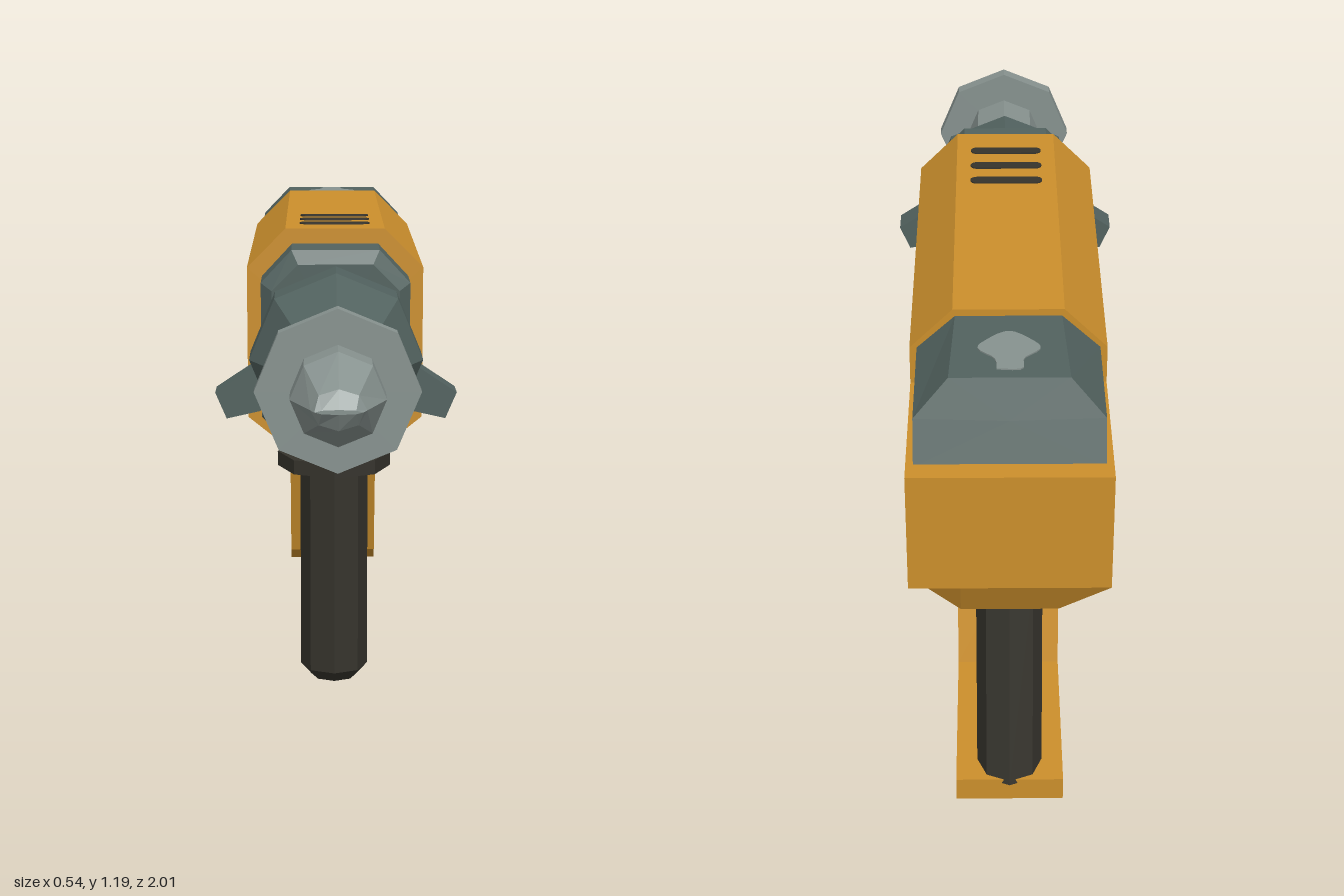
import * as THREE from 'three';

const mat = (name, color) => {
  const m = new THREE.MeshStandardMaterial({ color, flatShading: true, side: THREE.DoubleSide });
  m.name = name;
  return m;
};

// Flat-sided solid through cross-sections listed front to back; a point may carry its own z.
function loft(sections, cy) {
  const rings = sections.map(([z, pts]) => pts.map(p => [p[0], p[1], p[2] ?? z]));
  const out = [];
  const tri = (a, b, c) => out.push(...a, ...b, ...c);
  const n = rings[0].length;
  const centre = r => {
    const c = [0, 1, 2].map(k => r.reduce((s, p) => s + p[k], 0) / n);
    if (cy !== undefined) c[1] = cy;
    return c;
  };
  const front = rings[0], back = rings[rings.length - 1];
  const cf = centre(front), cb = centre(back);
  for (let j = 0; j < n; j++) {
    const k = (j + 1) % n;
    tri(cf, front[j], front[k]);
    tri(cb, back[k], back[j]);
    for (let i = 0; i + 1 < rings.length; i++) {
      const a = rings[i], b = rings[i + 1];
      tri(a[j], b[j], a[k]);
      tri(a[k], b[j], b[k]);
    }
  }
  const g = new THREE.BufferGeometry();
  g.setAttribute('position', new THREE.Float32BufferAttribute(out, 3));
  g.computeVertexNormals();
  return g;
}

// Right half of a cross-section, bottom to top, completed by its mirror image.
const mirror = half => [...half, ...half.map(([x, ...r]) => [-x, ...r]).reverse()];

// Eight-sided ring around the tool axis.
const AXIS = 0.93;
const ring = (rx, ry = rx) => Array.from({ length: 8 }, (_, i) => {
  const a = i * Math.PI / 4;
  return [rx * Math.cos(a), AXIS + ry * Math.sin(a)];
});

const polygon = pts => new THREE.Shape(pts.map(p => new THREE.Vector2(...p)));
const extrude = (shape, depth) => new THREE.ExtrudeGeometry(shape, { depth, bevelEnabled: false, curveSegments: 6 });

// Thin upright plate with rounded ends.
function slot(w, h) {
  const r = w / 2, s = new THREE.Shape();
  s.absarc(0, h / 2 - r, r, 0, Math.PI);
  s.absarc(0, r - h / 2, r, Math.PI, 2 * Math.PI);
  return extrude(s, 0.006);
}

export function createModel() {
  const orange = mat('orange housing', 0xcc8f2c);
  const darkGrey = mat('dark grey metal', 0x52625f);
  const lightGrey = mat('light grey steel', 0x87928f);
  const black = mat('black rubber', 0x35332c);
  const red = mat('red switch', 0xb81014);

  const model = new THREE.Group();
  const add = (name, geometry, material, x = 0, y = 0, z = 0) => {
    const m = new THREE.Mesh(geometry, material);
    m.name = name;
    m.position.set(x, y, z);
    model.add(m);
    return m;
  };

  // Housing, notched on both sides for the switch pockets
  const full = mirror([[0.1, 0.66], [0.205, 0.745], [0.205, 1.1], [0.115, 1.19]]);
  const notched = mirror([[0.1, 0.66], [0.17, 0.717], [0.17, 0.95], [0.205, 0.95], [0.205, 1.1], [0.115, 1.19]]);
  const low = mirror([[0.1, 0.66], [0.205, 0.745], [0.205, 1.015]]);
  const lowEnd = mirror([[0.1, 0.745], [0.205, 0.745], [0.205, 1.015]]);
  add('housingFront', loft([[0.2, full], [0.13, full]]), orange);
  add('housingPocketSection', loft([[0.13, notched], [-0.045, notched]], 0.97), orange);
  add('housingMiddle', loft([[-0.045, full], [-0.65, full]]), orange);
  add('housingRear', loft([[-0.65, low], [-0.96, low], [-1, lowEnd]]), orange);

  // Sloped motor cap on the rear step
  const cap = [[0.19, 1.01], [0.19, 1.1], [0.11, 1.175]];
  const capEnd = [[0.19, 1.01, -0.955], [0.19, 1.1, -0.92], [0.12, 1.175, -0.89]];
  add('motorCap', loft([[-0.65, mirror(cap)], [-0.955, mirror(capEnd)]]), darkGrey);
  const patch = new THREE.Shape(new THREE.SplineCurve([[0.025, 0.86], [0.03, 0.82], [0.062, 0.785], [0.05, 0.755],
    [0, 0.715], [-0.05, 0.755], [-0.062, 0.785], [-0.03, 0.82], [-0.025, 0.86], [0.025, 0.86]]
    .map(p => new THREE.Vector2(...p))).getPoints(30));
  add('capWearPatch', extrude(patch, 0.004).rotateX(-Math.PI / 2), lightGrey, 0, 1.174, 0);

  // Collar, chuck and bit
  const collar = mirror([[0.1, 0.69], [0.17, 0.77], [0.17, 1.08], [0.1, 1.155]]);
  const collarFace = mirror([[0.085, 0.72], [0.145, 0.785], [0.145, 1.065], [0.085, 1.125]]);
  add('collar', loft([[0.335, collarFace], [0.31, collar], [0.2, collar]]), darkGrey);
  add('chuck', loft([[0.595, ring(0.125)], [0.455, ring(0.193)], [0.345, ring(0.193)], [0.33, ring(0.175)]]), darkGrey);
  add('bitShaft', loft([[0.88, ring(0.098)], [0.59, ring(0.098)]]), lightGrey);
  add('bitTip', loft([[1, ring(0.048, 0.005)], [0.98, ring(0.056, 0.042)], [0.88, ring(0.098)]]), lightGrey);
  add('bitFlange', loft([[0.805, ring(0.172)], [0.768, ring(0.172)]]), lightGrey);

  for (const s of [1, -1]) {
    const side = s > 0 ? 'left' : 'right';
    // Chuck lug
    const lug = polygon([[0.27, 0.852], [0.18, 0.912], [0.13, 0.85], [0.17, 0.81], [0.245, 0.793]].map(([x, y]) => [s * x, y]));
    add(side + 'ChuckLug', extrude(lug, 0.07), darkGrey, 0, 0, 0.365);

    // Sloping walls of the switch pocket
    const quads = [
      [[0.205, 0.95, 0.13], [0.205, 0.745, 0.13], [0.17, 0.717, 0.105], [0.17, 0.92, 0.105]],
      [[0.205, 0.95, -0.045], [0.17, 0.92, -0.02], [0.17, 0.717, -0.02], [0.205, 0.745, -0.045]],
      [[0.205, 0.95, 0.13], [0.17, 0.92, 0.105], [0.17, 0.92, -0.02], [0.205, 0.95, -0.045]],
    ];
    const order = s > 0 ? [0, 1, 2, 0, 2, 3] : [0, 2, 1, 0, 3, 2];
    const walls = new THREE.BufferGeometry();
    walls.setAttribute('position', new THREE.Float32BufferAttribute(
      quads.flatMap(q => order.flatMap(i => [s * q[i][0], q[i][1], q[i][2]])), 3));
    walls.computeVertexNormals();
    add(side + 'PocketWalls', walls, orange);
    add(side + 'SwitchPlate', new THREE.BoxGeometry(0.008, 0.2, 0.125), darkGrey, s * 0.17, 0.82, 0.0425);
    add(side + 'Switch', slot(0.07, 0.135).rotateY(s * Math.PI / 2), red, s * 0.173, 0.825, 0.036);

    // Side vents
    [[-0.74, 0.026], [-0.82, 0.03], [-0.9, 0.034]].forEach(([z, w], i) =>
      add(`${side}Vent${i + 1}`, slot(w, 0.155).rotateY(s * Math.PI / 2), black, s * 0.201, 0.882, z));
  }

  // Top vents
  [-0.055, 0.023, 0.103].forEach((z, i) =>
    add(`topVent${i + 1}`, slot(0.03, 0.165).rotateZ(Math.PI / 2).rotateX(-Math.PI / 2), black, 0, 1.187, z));

  // Rear handle frame, drawn as (-z, y) and turned across the body
  const frame = polygon([[0.335, 0.67], [0.335, 0.655], [0.415, 0.595], [0.525, 0.205], [0.57, 0.17],
    [1, 0.17], [1, 0.225], [0.61, 0.225], [0.497, 0.67]]);
  add('handleFrame', extrude(frame, 0.23).translate(0, 0, -0.115).rotateY(Math.PI / 2), orange);

  // Slanted rear grip
  const shear = new THREE.Matrix4().set(1, 0, 0, 0, 0, 1, 0, 0, 0, 0.218, 1, 0, 0, 0, 0, 1);
  add('rearGrip', new THREE.CylinderGeometry(0.07, 0.07, 0.46, 8).applyMatrix4(shear), black, 0, 0.445, -0.887);

  // Front grip with guard and stem
  add('gripStem', new THREE.CylinderGeometry(0.061, 0.061, 0.09, 8), darkGrey, 0, 0.63, -0.083);
  add('gripGuard', new THREE.CylinderGeometry(0.142, 0.142, 0.036, 8), black, 0, 0.576, -0.083);
  add('frontGrip', new THREE.CylinderGeometry(0.085, 0.085, 0.53, 8), black, 0, 0.295, -0.083);
  add('gripEnd', new THREE.CylinderGeometry(0.085, 0.058, 0.03, 8), black, 0, 0.015, -0.083);

  return model;
}
